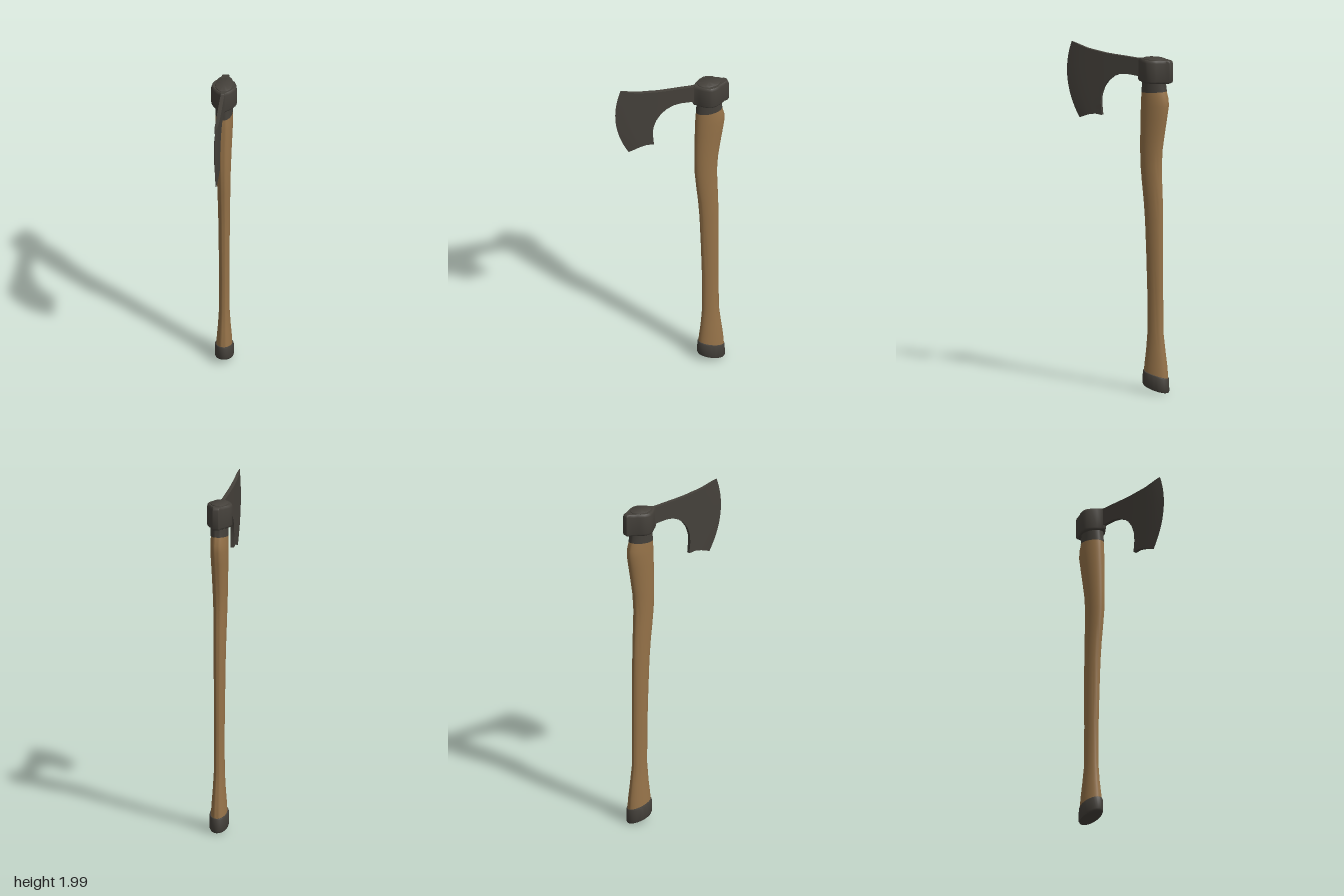
import * as THREE from 'three';
import { toCreasedNormals } from 'three/addons/utils/BufferGeometryUtils.js';

// Skins a stack of closed rings ([x, y, z] points), optionally capping both ends.
function loft(rings, capped = true, crease = 0.7) {
  const n = rings[0].length;
  const positions = rings.flat(2);
  const index = [];
  for (let i = 0; i < rings.length - 1; i++) {
    for (let j = 0; j < n; j++) {
      const k = (j + 1) % n;
      const a = i * n + j, b = i * n + k, c = a + n, d = b + n;
      index.push(a, b, c, b, d, c);
    }
  }
  if (capped) {
    [0, rings.length - 1].forEach((r) => {
      const centre = positions.length / 3;
      for (let axis = 0; axis < 3; axis++) {
        positions.push(rings[r].reduce((sum, p) => sum + p[axis], 0) / n);
      }
      for (let j = 0; j < n; j++) {
        const a = r * n + j, b = r * n + (j + 1) % n;
        if (r === 0) index.push(centre, b, a);
        else index.push(centre, a, b);
      }
    });
  }
  const geometry = new THREE.BufferGeometry();
  geometry.setAttribute('position', new THREE.Float32BufferAttribute(positions, 3));
  geometry.setIndex(index);
  return toCreasedNormals(geometry, crease);
}

// Oval ring at height y, from zFront to zBack, half width hx, tilted by slope.
function oval([y, zFront, zBack, hx], slope = 0, sides = 32) {
  const zc = (zFront + zBack) / 2, rz = (zFront - zBack) / 2;
  return Array.from({ length: sides }, (_, i) => {
    const a = (i / sides) * Math.PI * 2;
    const dz = Math.cos(a) * rz;
    return [Math.sin(a) * hx, y + slope * dz, zc + dz];
  });
}

// Teardrop outline of the axe eye, scaled about the handle axis.
function eyeRing(y, scale) {
  const half = [[0.01, -0.125], [0.014, -0.136], [0.035, -0.153], [0.056, -0.177],
    [0.07, -0.202], [0.0735, -0.217], [0.069, -0.243], [0.058, -0.267], [0.046, -0.28],
    [0.037, -0.3], [0.024, -0.316], [0.021, -0.331], [0.016, -0.337]];
  const loop = [...half, ...half.slice().reverse().map(([x, z]) => [-x, z])];
  return loop.map(([x, z]) => [x * scale, y, -0.222 + (z + 0.222) * scale]);
}

export function createModel() {
  const wood = new THREE.MeshStandardMaterial({ color: 0x967349 });
  wood.name = 'wood';
  const iron = new THREE.MeshStandardMaterial({ color: 0x45413b });
  iron.name = 'darkIron';

  const model = new THREE.Group();
  model.name = 'axe';
  const add = (name, geometry, material) => {
    const mesh = new THREE.Mesh(geometry, material);
    mesh.name = name;
    model.add(mesh);
  };

  // Curved wooden handle: height, front z, back z, half width
  const handle = [
    [0.08, -0.158, -0.312, 0.047], [0.16, -0.163, -0.306, 0.043],
    [0.25, -0.174, -0.294, 0.036], [0.36, -0.183, -0.281, 0.03],
    [0.6, -0.181, -0.28, 0.029], [0.8, -0.175, -0.28, 0.031],
    [1.0, -0.167, -0.279, 0.033], [1.12, -0.158, -0.277, 0.035],
    [1.22, -0.147, -0.273, 0.037], [1.32, -0.138, -0.27, 0.039],
    [1.42, -0.136, -0.276, 0.042], [1.52, -0.137, -0.291, 0.045],
    [1.6, -0.139, -0.304, 0.048], [1.67, -0.141, -0.315, 0.05],
    [1.71, -0.143, -0.314, 0.05], [1.76, -0.147, -0.3, 0.048],
  ];
  add('handle', loft(handle.map((row) => oval(row))), wood);

  // Slanted metal butt cap
  const cap = [
    [0.024, -0.168, -0.302, 0.042], [0.028, -0.158, -0.312, 0.05],
    [0.038, -0.153, -0.317, 0.054], [0.106, -0.155, -0.315, 0.054],
    [0.113, -0.158, -0.312, 0.052], [0.115, -0.166, -0.304, 0.044],
  ];
  add('buttCap', loft(cap.map((row) => oval(row, 0.27))), iron);

  // Metal collar below the head, passing up through the eye
  const collar = [
    [1.752, -0.145, -0.302, 0.0495], [1.8, -0.15, -0.296, 0.05],
    [1.936, -0.153, -0.292, 0.052], [1.944, -0.155, -0.29, 0.05],
    [1.948, -0.163, -0.282, 0.044],
  ];
  add('collar', loft(collar.map((row) => oval(row, -0.08 * (row[0] < 1.76)))), iron);

  // Eye of the head with softened rims
  const eye = [[1.808, 0.9], [1.811, 0.96], [1.82, 1], [1.925, 1], [1.935, 0.97], [1.941, 0.9]];
  add('headEye', loft(eye.map(([y, s]) => eyeRing(y, s))), iron);

  // Bearded blade: top z, top y, bottom z, bottom y, half thickness, edge bulge
  const blade = [
    [-0.17, 1.938, -0.17, 1.822, 0.011, 0], [-0.115, 1.938, -0.115, 1.836, 0.011, 0],
    [-0.05, 1.942, -0.05, 1.841, 0.011, 0], [-0.01, 1.944, -0.005, 1.836, 0.011, 0],
    [0.03, 1.946, 0.035, 1.819, 0.011, 0], [0.06, 1.948, 0.07, 1.791, 0.011, 0],
    [0.085, 1.95, 0.098, 1.752, 0.011, 0], [0.11, 1.953, 0.115, 1.705, 0.011, 0],
    [0.135, 1.957, 0.118, 1.655, 0.0108, 0], [0.16, 1.96, 0.111, 1.588, 0.0105, 0.002],
    [0.205, 1.967, 0.155, 1.592, 0.0098, 0.014], [0.25, 1.98, 0.197, 1.584, 0.0085, 0.028],
    [0.28, 1.99, 0.23, 1.572, 0.006, 0.04], [0.31, 2.0, 0.26, 1.56, 0.0006, 0.053],
  ];
  const steps = 16;
  const bladeRings = blade.map(([zt, yt, zb, yb, h, bulge]) => {
    const side = Array.from({ length: steps + 1 }, (_, j) => {
      const t = j / steps;
      return [h, yb + (yt - yb) * t, zb + (zt - zb) * t + bulge * 4 * t * (1 - t)];
    });
    return [...side, ...side.slice().reverse().map(([x, y, z]) => [-x, y, z])];
  });
  add('blade', loft(bladeRings, false), iron);

  return model;
}
